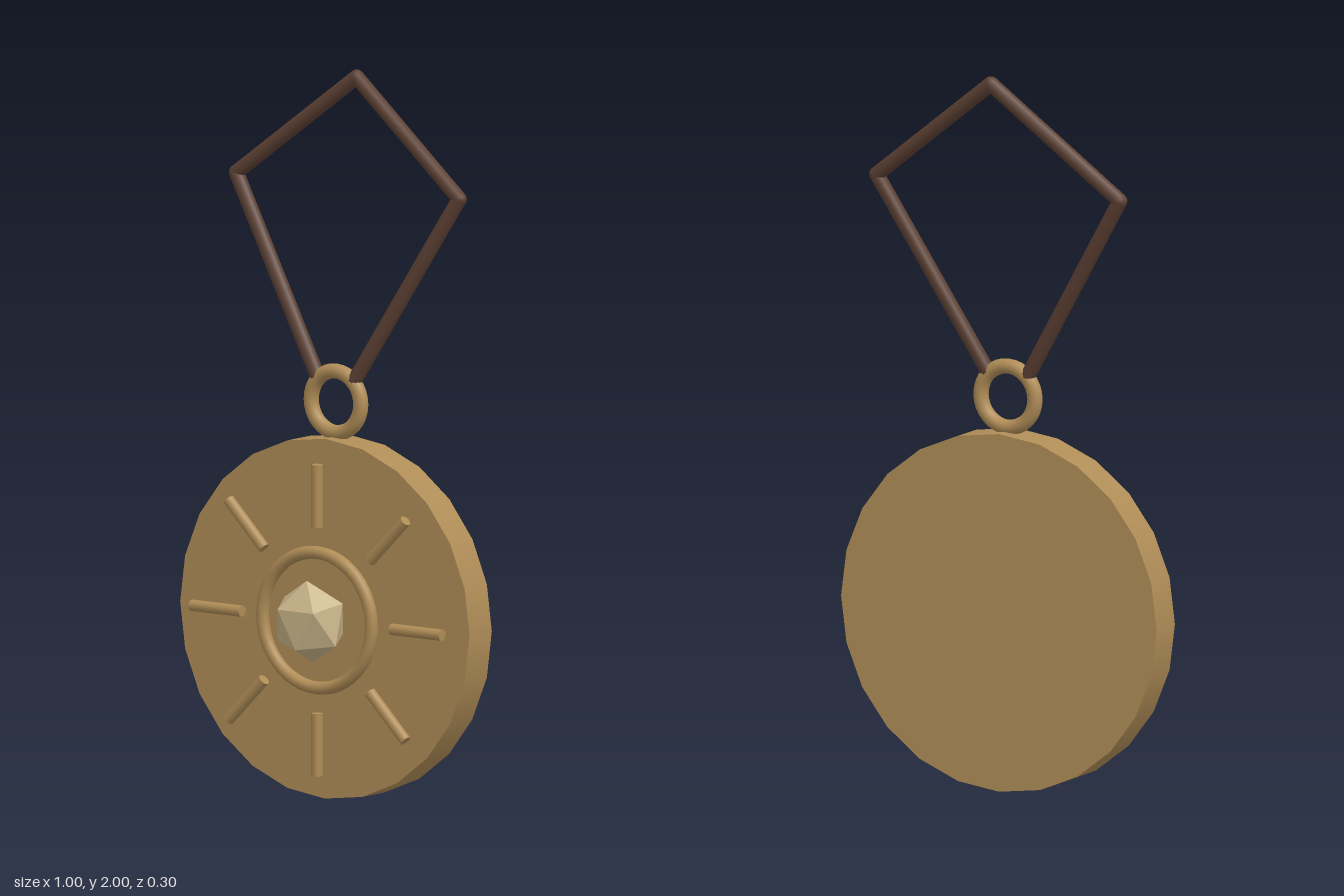
import * as THREE from 'three';

const bronze = new THREE.MeshStandardMaterial({ name: 'bronze', color: 0xb08d57 });
const leather = new THREE.MeshStandardMaterial({ name: 'leather', color: 0x5c4033 });
const paleStone = new THREE.MeshStandardMaterial({ name: 'paleStone', color: 0xc9b58a });

function add(parent, name, geometry, material, x, y, z) {
  const mesh = new THREE.Mesh(geometry, material);
  mesh.name = name;
  mesh.position.set(x, y, z);
  parent.add(mesh);
  return mesh;
}

// Round rod between two points
function rod(parent, name, a, b, radius, material) {
  const dir = b.clone().sub(a);
  const mid = a.clone().add(b).multiplyScalar(0.5);
  const mesh = add(parent, name, new THREE.CylinderGeometry(radius, radius, dir.length(), 12), material, mid.x, mid.y, mid.z);
  mesh.quaternion.setFromUnitVectors(new THREE.Vector3(0, 1, 0), dir.normalize());
}

export function createModel() {
  const model = new THREE.Group();
  model.name = 'pendant';

  // Whole pendant is turned slightly about the vertical axis
  const body = new THREE.Group();
  body.name = 'pendantBody';
  body.position.z = -0.038;
  body.rotation.y = 0.067;
  model.add(body);

  // Medallion
  const disc = new THREE.CylinderGeometry(0.497, 0.497, 0.1, 24).rotateX(Math.PI / 2);
  add(body, 'disc', disc, bronze, 0, 0.5, 0);

  // Sun emblem: ring and eight rays in front of the disc
  const emblemZ = 0.085;
  add(body, 'sunRing', new THREE.TorusGeometry(0.187, 0.018, 12, 48), bronze, 0, 0.5, emblemZ);
  for (let i = 0; i < 8; i++) {
    const angle = (i * Math.PI) / 4;
    const at = (r) => new THREE.Vector3(r * Math.cos(angle), 0.5 + r * Math.sin(angle), emblemZ);
    rod(body, 'sunRay', at(0.257), at(0.43), 0.016, bronze);
  }

  // Faceted gem, one facet facing forward, flattened in depth
  const gem = new THREE.IcosahedronGeometry(0.117, 0);
  const facing = new THREE.Quaternion().setFromUnitVectors(
    new THREE.Vector3(1, 1, 1).normalize(), new THREE.Vector3(0, 0, 1));
  gem.applyQuaternion(facing).rotateZ(-0.651).scale(1, 1, 0.72);
  gem.computeVertexNormals();
  add(body, 'gem', gem, paleStone, 0, 0.5, 0.116);

  // Hanging ring
  add(body, 'bail', new THREE.TorusGeometry(0.085, 0.021, 12, 32), bronze, 0, 1.093, 0);

  // Cord: four straight lengths with rounded joints
  const cord = new THREE.Group();
  cord.name = 'cord';
  body.add(cord);
  const points = [
    [-0.062, 1.155, 0], [-0.383, 1.683, -0.053], [0, 1.978, -0.093],
    [0.383, 1.683, -0.053], [0.062, 1.155, 0],
  ].map((p) => new THREE.Vector3(...p));
  for (let i = 0; i < 4; i++) {
    rod(cord, 'cordLength', points[i], points[i + 1], 0.021, leather);
    if (i > 0) add(cord, 'cordJoint', new THREE.SphereGeometry(0.021, 12, 8), leather, ...points[i].toArray());
  }

  return model;
}
